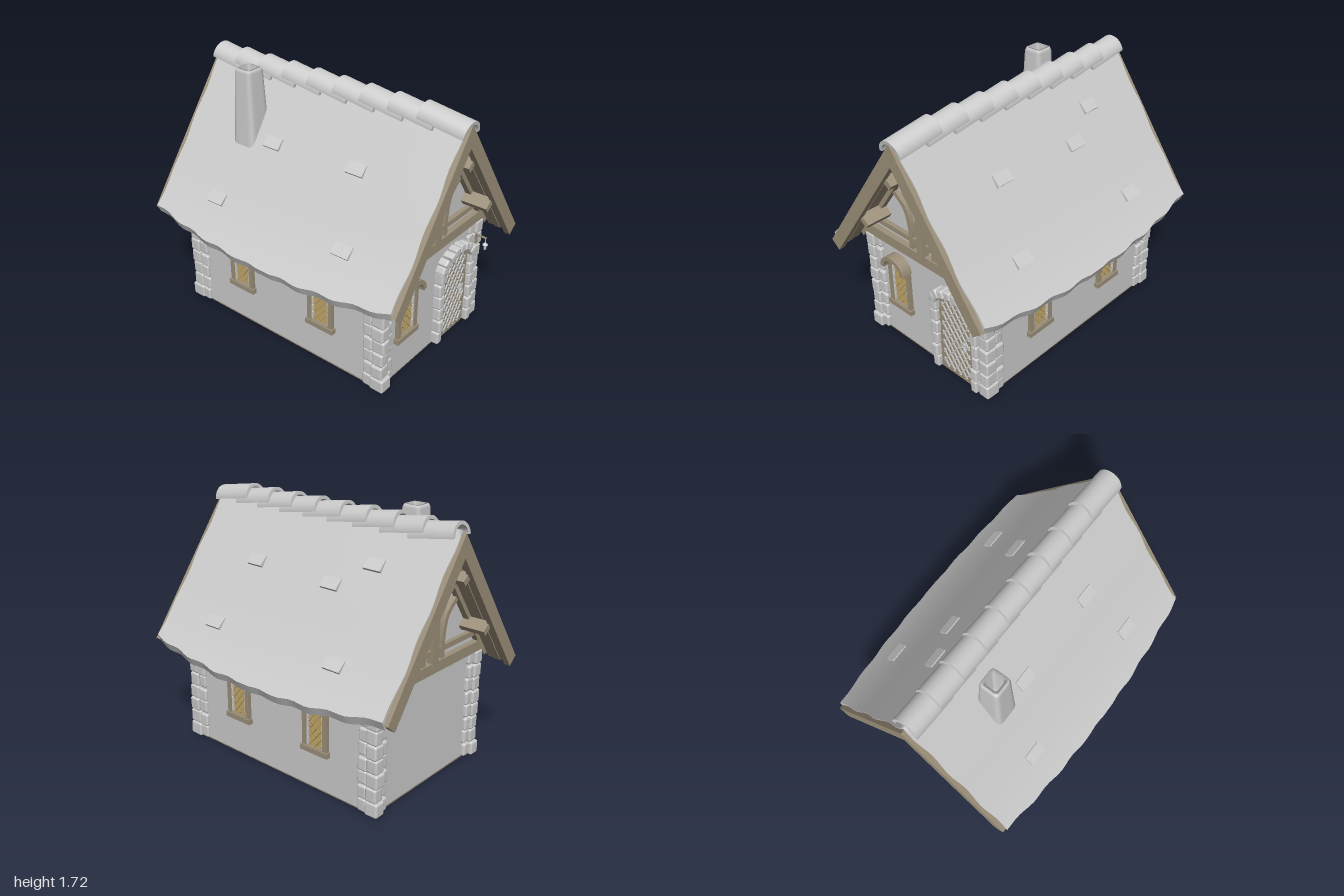
import * as THREE from 'three';
import { RoundedBoxGeometry } from 'three/addons/geometries/RoundedBoxGeometry.js';

const mat = (color) => new THREE.MeshStandardMaterial({ color });
const grey = mat(0xcccccc), wood = mat(0x9c907a), glass = mat(0xc9a962), lead = mat(0xa8966c);
const V2 = (x, y) => new THREE.Vector2(x, y);
const WX = 0.52, WZ = 0.79; // wall half width and half depth

let seed = 7;
const rnd = (a) => ((seed = (seed * 16807) % 2147483647) / 2147483647 - 0.5) * 2 * a;

function add(parent, name, geo, material, x = 0, y = 0, z = 0, rz = 0) {
  const m = new THREE.Mesh(geo, material);
  m.name = name;
  m.position.set(x, y, z);
  m.rotation.z = rz;
  parent.add(m);
  return m;
}
function group(parent, name) {
  const g = new THREE.Group();
  g.name = name;
  parent.add(g);
  return g;
}
const box = (w, h, d) => new THREE.BoxGeometry(w, h, d);
const extrude = (shape, depth) => new THREE.ExtrudeGeometry(shape, { depth, bevelEnabled: false, curveSegments: 16 });

// flat strip of constant width along a smooth path, extruded in z
function band(pts, width, depth) {
  const path = new THREE.SplineCurve(pts.map((p) => V2(...p)));
  const a = [], b = [], n = 14;
  for (let i = 0; i <= n; i++) {
    const p = path.getPoint(i / n), t = path.getTangent(i / n);
    const o = V2(-t.y, t.x).multiplyScalar(width / 2);
    a.push(p.clone().add(o));
    b.unshift(p.clone().sub(o));
  }
  return extrude(new THREE.Shape([...a, ...b]), depth);
}
// arched opening outline: straight sides, elliptical head
function arch(half, y0, spring, rise, Type = THREE.Shape) {
  const s = new Type();
  s.moveTo(-half, y0);
  s.lineTo(half, y0);
  s.absellipse(0, spring, half, rise, 0, Math.PI, false, 0);
  s.lineTo(-half, y0);
  return s;
}
// diagonal bars clipped to a rectangle standing on y0
function lattice(parent, material, w, y0, h, step, k, r, z) {
  const g = group(parent, 'lattice');
  for (const s of [-1, 1]) {
    for (let c = -k * w; c < h + k * w; c += step) {
      const xa = Math.max(-w / 2, s > 0 ? -c / k : (c - h) / k);
      const xb = Math.min(w / 2, s > 0 ? (h - c) / k : c / k);
      if (xb - xa < 0.01) continue;
      const ya = c + s * k * xa, yb = c + s * k * xb;
      add(g, 'latticeBar', box(Math.hypot(xb - xa, yb - ya), r, r), material,
        (xa + xb) / 2, y0 + (ya + yb) / 2, z, Math.atan2(yb - ya, xb - xa));
    }
  }
}
function stone(parent, w, h, d, x, y, z, rz = 0) {
  const geo = new RoundedBoxGeometry(w + rnd(0.008), h, d + rnd(0.008), 2, 0.014);
  const m = add(parent, 'stone', geo, grey, x + rnd(0.004), y, z + rnd(0.004), rz + rnd(0.04));
  m.rotation.y = rnd(0.05);
}

// outer roof line from ridge to eave
const roofLine = new THREE.SplineCurve([V2(0, 1.67), V2(0.3, 1.25), V2(0.5, 0.97), V2(0.65, 0.785), V2(0.75, 0.68)]);

function buildRoof(g) {
  const geo = new THREE.BoxGeometry(2, 1, 2, 40, 1, 48), p = geo.attributes.position;
  for (let i = 0; i < p.count; i++) {
    const s = p.getX(i), z = p.getZ(i), under = p.getY(i) < 0, t = Math.abs(s);
    const wob = 0.006 * Math.sin(z * 23) * t ** 6;
    const q = roofLine.getPointAt(Math.min(1, t * (1 - 0.075 * z * z) + wob));
    const edge = Math.abs(z) > 0.99 ? 0.006 * Math.sin(t * 19) : 0;
    p.setXYZ(i, Math.sign(s) * (q.x - (under ? 0.025 * t : 0)), q.y - (under ? 0.075 - 0.02 * t : 0), z * (0.972 + edge));
  }
  geo.computeVertexNormals();
  add(g, 'roofThatch', geo, grey);

  // raised shingles, placed by distance down the slope
  for (const s of [-1, 1]) {
    for (const [t, z] of [[0.25, -0.5], [0.76, -0.51], [0.39, -0.25], [0.37, 0.4], [0.75, 0.52]]) {
      if (s < 0 && t === 0.25) continue;
      const q = roofLine.getPointAt(t), d = roofLine.getTangentAt(t);
      add(g, 'raisedShingle', box(0.08, 0.03, 0.13), grey, s * q.x, q.y - 0.002, z, s * (Math.atan2(d.y, d.x) + 0.17));
    }
  }

  // overlapping ridge tiles, each tilted up towards the back
  const tile = new THREE.Shape();
  tile.absarc(0, 0, 0.088, 0, Math.PI, false);
  tile.absarc(0, 0, 0.066, Math.PI, 0, true);
  const tileGeo = extrude(tile, 0.315);
  for (let i = 0; i < 9; i++) {
    add(g, 'ridgeTile', tileGeo, grey, 0, 1.633, 0.68 - i * 0.2063).rotation.x = 0.15;
  }

  // chimney: turned profile squared off with rounded corners
  const profile = [[0.1, 1.05], [0.085, 1.27], [0.068, 1.69], [0.06, 1.71], [0.042, 1.71], [0.04, 1.5], [0.002, 1.5]];
  const ch = new THREE.LatheGeometry(profile.map((q) => V2(...q)), 48);
  const cp = ch.attributes.position;
  for (let i = 0; i < cp.count; i++) {
    const x = cp.getX(i), z = cp.getZ(i), r = Math.hypot(x, z);
    const k = (Math.abs(x / r) ** 7 + Math.abs(z / r) ** 7) ** (-1 / 7);
    cp.setXYZ(i, x * k, cp.getY(i), z * k);
  }
  ch.computeVertexNormals();
  add(g, 'chimney', ch, grey, -0.242, 0, -0.48);
}

// timber framing of one gable end
function buildGable(g) {
  const z = WZ - 0.01, d = 0.05;
  add(g, 'tieBeam', box(1.08, 0.07, d), wood, 0, 0.795, z + d / 2);
  add(g, 'collarBeam', box(0.9, 0.035, d - 0.01), wood, 0, 0.895, z + d / 2 - 0.005);
  add(g, 'kingPost', box(0.06, 0.76, d + 0.01), wood, 0, 1.17, z + d / 2);
  const slope = (c, x) => c - 1.39 * x;
  for (const s of [-1, 1]) {
    add(g, 'curvedBrace', band([[0.1, 0.82], [0.1, 0.97], [0.135, 1.1], [0.225, 1.18]].map(([x, y]) => [s * x, y]), 0.032, d - 0.01), wood, 0, 0, z);
    const strip = (top, low, x1, x2) => new THREE.Shape([V2(0, top), V2(s * x1, slope(top, x1)), V2(s * x2, slope(low, x2)), V2(0, low)]);
    add(g, 'bargeBoard', extrude(strip(1.655, 1.51, 0.675, 0.61), 0.04), wood, 0, 0, 0.96);
    add(g, 'wallRafter', extrude(strip(1.57, 1.5, 0.6, 0.57), d), wood, 0, 0, z);
    for (let i = 0; i < 3; i++) {
      add(g, 'soffitPlank', extrude(strip(1.6, 1.55 - 0.006 * (i % 2), 0.645, 0.625), 0.042), wood, 0, 0, 0.83 + i * 0.045);
    }
    for (const [x, y] of [[0.09, 1.365], [0.35, 0.985]]) {
      add(g, 'purlinEnd', box(0.085, 0.04, 0.18), wood, s * x, y, 0.88, s * 0.62);
    }
  }
}

// arched leaded window, facing +z from the wall plane
function buildWindow(parent, x, z, ry) {
  const g = group(parent, 'window');
  g.position.set(x, 0, z);
  g.rotation.y = ry;
  const frame = arch(0.1, 0.28, 0.58, 0.1);
  frame.holes.push(arch(0.068, 0.3, 0.58, 0.07, THREE.Path));
  add(g, 'windowFrame', extrude(frame, 0.035), wood, 0, 0, -0.01);
  add(g, 'windowGlass', extrude(arch(0.07, 0.29, 0.58, 0.072), 0.01), glass, 0, 0, -0.004);
  lattice(g, lead, 0.13, 0.3, 0.32, 0.055, 1.2, 0.005, 0.007);
  add(g, 'windowSill', box(0.22, 0.035, 0.045), wood, 0, 0.28, 0.012);
  const arc = [];
  for (let i = 0; i <= 8; i++) {
    const a = Math.PI * i / 8;
    arc.push([0.095 * Math.cos(a), 0.592 + 0.085 * Math.sin(a)]);
  }
  add(g, 'windowHood', band(arc, 0.03, 0.085), wood, 0, 0, -0.01);
  for (const s of [-1, 1]) {
    for (let i = 0; i < 5; i++) {
      add(g, 'revealStone', box(0.016, 0.05, 0.02), grey, s * 0.064, 0.33 + i * 0.056, 0.008, rnd(0.06));
    }
  }
}

function buildDoor(parent) {
  const g = group(parent, 'door');
  g.position.set(0.262, 0, WZ);
  add(g, 'doorPanel', extrude(arch(0.155, 0.005, 0.55, 0.075), 0.02), wood);
  lattice(g, grey, 0.235, 0.035, 0.555, 0.075, 1.4, 0.009, 0.023);
  add(g, 'handlePlate', box(0.022, 0.06, 0.012), grey, 0.082, 0.295, 0.028);
  add(g, 'handleRing', new THREE.TorusGeometry(0.022, 0.005, 8, 20), grey, 0.078, 0.28, 0.038);
  // stone jambs and arch
  const surround = group(g, 'doorSurround');
  for (const s of [-1, 1]) {
    for (let i = 0; i < 6; i++) stone(surround, 0.058, 0.094, 0.08, s * 0.176, 0.049 + i * 0.094, 0.015);
  }
  for (let i = 0; i < 8; i++) {
    const a = Math.PI * (0.1 + 0.8 * i / 7), c = Math.cos(a), n = Math.sin(a);
    stone(surround, 0.062, 0.055, 0.085, 0.178 * c, 0.535 + 0.115 * n, 0.017, Math.atan2(n / 0.115, c / 0.178));
  }
}

export function createModel() {
  const model = new THREE.Group();
  model.name = 'cottage';

  // walls with gables, and the floor
  const wall = new THREE.Shape([V2(-WX, 0.008), V2(WX, 0.008), V2(WX, 0.84), V2(0, 1.57), V2(-WX, 0.84)]);
  add(model, 'walls', extrude(wall, 2 * WZ), grey, 0, 0, -WZ);
  add(model, 'floor', box(2 * WX, 0.01, 2 * WZ), wood, 0, 0.005, 0);

  buildRoof(group(model, 'roof'));
  for (const a of [0, Math.PI]) {
    const gable = group(model, 'gableTimber');
    gable.rotation.y = a;
    buildGable(gable);
  }

  // corner stones: one block on the corner, one along each wall
  for (const sx of [-1, 1]) {
    for (const sz of [-1, 1]) {
      const g = group(model, 'cornerStones');
      for (let i = 0; i < 8; i++) {
        const h = 0.094, y = 0.05 + i * 0.0945, k = i % 2 ? 0.008 : 0, base = i ? 0 : 0.012;
        stone(g, 0.075 + base, h, 0.085 + base, sx * 0.508, y, sz * 0.787);
        stone(g, 0.056 + k, h - 0.004, 0.06, sx * 0.449, y + k, sz * 0.784);
        stone(g, 0.06, h - 0.004, 0.068 + k, sx * 0.508, y - k, sz * 0.713);
      }
    }
  }

  buildWindow(model, -0.262, WZ, 0);
  for (const s of [-1, 1]) {
    for (const z of [-0.34, 0.34]) buildWindow(model, s * WX, z, s * Math.PI / 2);
  }
  buildDoor(model);

  // lantern on a bracket beside the door
  const lantern = group(model, 'lantern');
  lantern.position.set(0.475, 0, 0.9);
  add(lantern, 'bracketPlate', box(0.02, 0.07, 0.012), wood, 0, 0.635, -0.07);
  add(lantern, 'bracketArm', box(0.01, 0.01, 0.08), wood, 0, 0.66, -0.035);
  add(lantern, 'lanternHanger', box(0.005, 0.035, 0.005), grey, 0, 0.645, 0);
  add(lantern, 'lanternCap', new THREE.ConeGeometry(0.02, 0.02, 6), grey, 0, 0.62, 0);
  add(lantern, 'lanternBody', new THREE.CylinderGeometry(0.014, 0.01, 0.035, 6), grey, 0, 0.593, 0);
  return model;
}
